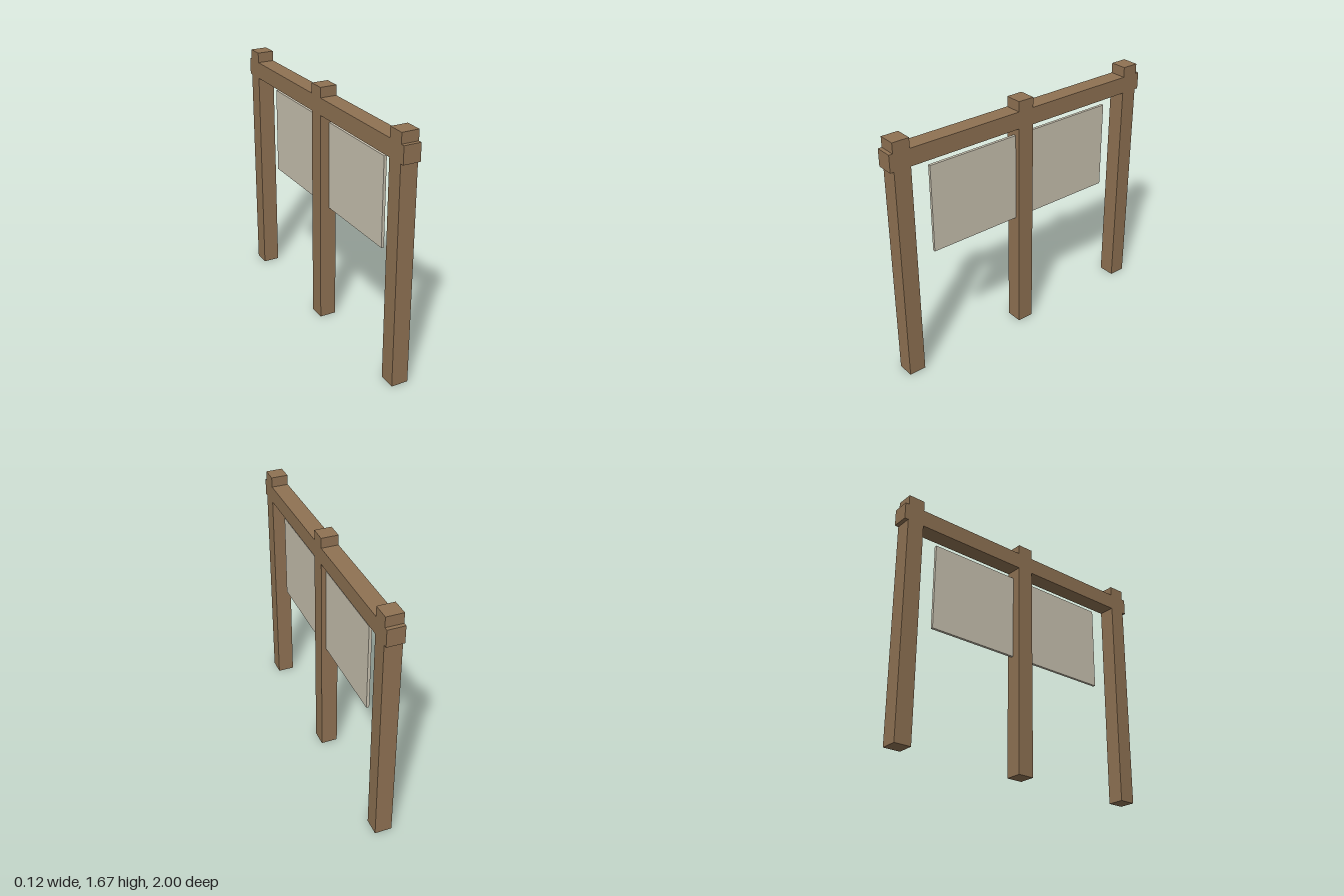
import * as THREE from 'three';

export function createModel() {
  const group = new THREE.Group();
  const wood = new THREE.MeshStandardMaterial({ color: 0x8f7253 });
  wood.name = 'brown wood';
  const board = new THREE.MeshStandardMaterial({ color: 0xc9c2b0 });
  board.name = 'pale board';

  const W = 0.115; // timber thickness

  function box(name, material, size, position) {
    const mesh = new THREE.Mesh(new THREE.BoxGeometry(...size), material);
    mesh.name = name;
    mesh.position.set(...position);
    group.add(mesh);
  }

  // Three square posts
  const posts = { frontPost: 0.917, middlePost: 0, backPost: -0.917 };
  for (const [name, z] of Object.entries(posts)) {
    box(name, wood, [W, 1.67, W], [0, 0.835, z]);
  }

  // Beam segments between the posts and short stubs past the ends,
  // butted against the posts so no faces overlap
  const h = W / 2;
  const inner = 0.917 - h;
  const outer = 0.917 + h;
  for (const side of [1, -1]) {
    const end = side > 0 ? 'front' : 'back';
    box(end + 'Beam', wood, [W, W, inner - h], [0, 1.544, side * (inner + h) / 2]);
    box(end + 'BeamEnd', wood, [W, W, 1 - outer], [0, 1.544, side * (1 + outer) / 2]);
  }

  // Thin sign board running through the middle post
  box('signBoard', board, [0.019, 0.6, 1.42], [0.015, 1.13, 0]);

  return group;
}
